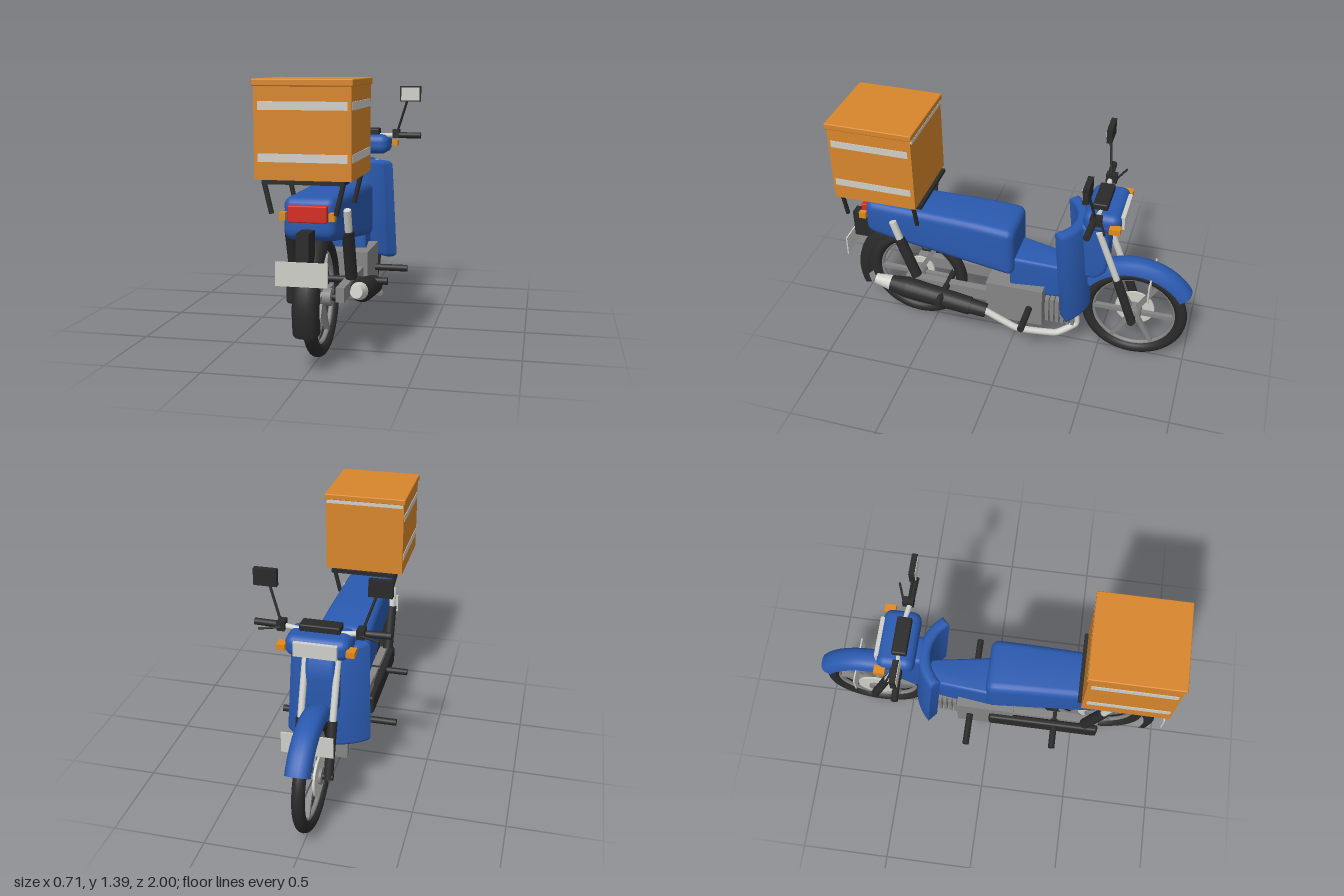
import * as THREE from 'three';
import { toCreasedNormals } from 'three/addons/utils/BufferGeometryUtils.js';
import { RoundedBoxGeometry } from 'three/addons/geometries/RoundedBoxGeometry.js';

const mat = (name, color, side = THREE.FrontSide) =>
  Object.assign(new THREE.MeshStandardMaterial({ color, side }), { name });

export function createModel() {
  const root = new THREE.Group();
  root.name = 'deliveryMotorbike';
  const blue = mat('bluePaint', 0x2a5ab0, THREE.DoubleSide);
  const orange = mat('orangeBox', 0xd8862c);
  const dark = mat('blackPlastic', 0x2a2a2a, THREE.DoubleSide);
  const light = mat('lightGrey', 0xcfcfca);
  const grey = mat('engineGrey', 0x858585);
  const red = mat('redLens', 0xd62a20);
  const amber = mat('amberLens', 0xe08a1c);

  const add = (name, geo, m, parent = root) => {
    const mesh = new THREE.Mesh(geo, m);
    mesh.name = name;
    parent.add(mesh);
    return mesh;
  };
  const v = (p) => new THREE.Vector3(...p);

  // Box from its extents on each axis
  const box = (name, m, [x0, x1], [y0, y1], [z0, z1], r = 0) => {
    const s = [x1 - x0, y1 - y0, z1 - z0];
    const geo = r ? new RoundedBoxGeometry(...s, 4, r) : new THREE.BoxGeometry(...s);
    const mesh = add(name, geo, m);
    mesh.position.set((x0 + x1) / 2, (y0 + y1) / 2, (z0 + z1) / 2);
    return mesh;
  };

  // Round rod from a to b
  const rod = (name, m, a, b, ra, rb = ra, parent = root) => {
    const A = v(a), B = v(b), d = B.clone().sub(A);
    const mesh = add(name, new THREE.CylinderGeometry(rb, ra, d.length(), 20), m, parent);
    mesh.position.copy(A).add(B).multiplyScalar(0.5);
    mesh.quaternion.setFromUnitVectors(new THREE.Vector3(0, 1, 0), d.normalize());
    return mesh;
  };

  // Polygon with softened corners
  const softShape = (pts, r) => {
    const s = new THREE.Shape();
    const P = pts.map((p) => new THREE.Vector2(...p)), n = P.length;
    P.forEach((p, i) => {
      const a = P[(i + n - 1) % n].clone().sub(p).setLength(r).add(p);
      const b = P[(i + 1) % n].clone().sub(p).setLength(r).add(p);
      i ? s.lineTo(a.x, a.y) : s.moveTo(a.x, a.y);
      s.quadraticCurveTo(p.x, p.y, b.x, b.y);
    });
    s.closePath();
    return s;
  };

  // Bevelled body from a (z, y) side profile; widthAt(z) scales its width
  const sideBody = (name, pts, half, bevel, corner, widthAt = () => 1) => {
    const geo = new THREE.ExtrudeGeometry(softShape(pts, corner), {
      depth: 2 * (half - bevel), bevelThickness: bevel, bevelSize: bevel,
      bevelOffset: -bevel, bevelSegments: 5, curveSegments: 6,
    });
    geo.translate(0, 0, bevel - half).rotateY(-Math.PI / 2);
    geo.translate(0, 0, 0);
    const p = geo.attributes.position;
    for (let i = 0; i < p.count; i++) p.setX(i, p.getX(i) * widthAt(p.getZ(i)));
    return add(name, toCreasedNormals(geo, 0.6), blue);
  };

  // Wheels: tyre, rim, six spokes, hub and brake disc
  const wheel = (name, z, discX, discR) => {
    const g = new THREE.Group();
    g.name = name;
    g.position.set(0, 0.303, z);
    root.add(g);
    const turn = (geo) => geo.rotateY(Math.PI / 2);
    add('tyre', turn(new THREE.TorusGeometry(0.268, 0.034, 16, 64)), dark, g);
    add('rim', turn(new THREE.TorusGeometry(0.234, 0.013, 8, 64)), grey, g);
    for (let i = 0; i < 6; i++) {
      const spoke = add('spoke', new THREE.BoxGeometry(0.025, 0.024, 0.2).translate(0, 0, 0.13), grey, g);
      spoke.rotation.x = (i * Math.PI) / 3;
    }
    rod('hub', grey, [-0.055, 0, 0], [0.055, 0, 0], 0.045, 0.045, g);
    rod('axle', dark, [-0.11, 0, 0], [0.11, 0, 0], 0.018, 0.018, g);
    rod('brakeDisc', light, [discX - 0.006, 0, 0], [discX + 0.006, 0, 0], discR, discR, g);
  };
  wheel('rearWheel', 0.605, -0.035, 0.085);
  wheel('frontWheel', -0.693, -0.035, 0.113);

  // Curved mudguards, swept around the wheel axle
  const fender = (name, m, z, from, to) => {
    const profile = [[0.305, -0.065], [0.345, -0.06], [0.363, -0.042], [0.37, -0.015],
      [0.37, 0.015], [0.363, 0.042], [0.345, 0.06], [0.305, 0.065]].map((p) => new THREE.Vector2(...p));
    const rad = Math.PI / 180;
    const geo = new THREE.LatheGeometry(profile, 40, from * rad, (to - from) * rad);
    add(name, geo.rotateZ(Math.PI / 2), m).position.set(0, 0.303, z);
  };
  fender('rearFender', dark, 0.605, -19, 115);
  fender('frontFender', blue, -0.693, 36, 147);

  // Seat and frame cover
  sideBody('seat', [[0.855, 0.84], [0.86, 0.64], [0.74, 0.615], [-0.02, 0.51], [-0.02, 0.815], [0.2, 0.83]],
    0.153, 0.045, 0.05, (z) => 1 - 0.2 * Math.max(0, z));
  sideBody('frameCover', [[0.01, 0.62], [0.01, 0.37], [-0.4, 0.37], [-0.4, 0.57]],
    0.115, 0.02, 0.02, (z) => 1 + 1.1 * Math.min(0, z));

  // Leg shield: an arc in plan, leaning and widening towards the bottom
  const arc = new THREE.Shape();
  const mid = Math.PI / 2, span = 0.84;
  arc.absarc(0, 0, 0.3, mid - span, mid + span, false);
  arc.absarc(0, 0, 0.235, mid + span, mid - span, true);
  const shield = new THREE.ExtrudeGeometry(arc, {
    depth: 0.53, bevelThickness: 0.025, bevelSize: 0.025, bevelOffset: -0.025, bevelSegments: 4, curveSegments: 20,
  }).rotateX(-Math.PI / 2).translate(0, 0.345, -0.1);
  const sp = shield.attributes.position;
  for (let i = 0; i < sp.count; i++) {
    const t = (0.9 - sp.getY(i)) / 0.58;
    sp.setX(i, sp.getX(i) * (0.94 + 0.1 * t));
    sp.setZ(i, sp.getZ(i) - 0.05 * t);
  }
  add('legShield', toCreasedNormals(shield, 0.6), blue);
  sideBody('steeringCowl', [[-0.37, 0.9], [-0.37, 0.55], [-0.47, 0.545], [-0.53, 0.6], [-0.535, 0.8], [-0.51, 0.9]],
    0.08, 0.025, 0.03);
  rod('steeringStem', light, [0, 0.85, -0.45], [0, 0.98, -0.48], 0.03);

  // Headlight pod and instruments
  box('headlightPod', blue, [-0.165, 0.165], [0.925, 1.04], [-0.6, -0.4], 0.045);
  box('headlightLens', light, [-0.112, 0.112], [0.945, 1.02], [-0.615, -0.59]);
  box('instrumentPanel', dark, [-0.105, 0.105], [1.035, 1.075], [-0.52, -0.44], 0.008);

  // Engine, cooling fins and pegs
  box('engineBlock', grey, [-0.147, 0.147], [0.193, 0.44], [-0.19, 0.14]);
  box('cylinderCore', grey, [-0.075, 0.075], [0.22, 0.34], [-0.36, -0.18]);
  for (let i = 0; i < 6; i++) {
    const z = -0.21 - i * 0.03;
    box('coolingFin', grey, [-0.105, 0.105], [0.2, 0.36], [z - 0.009, z + 0.009]);
  }
  rod('frontFootPegs', dark, [-0.33, 0.305, -0.115], [0.33, 0.305, -0.115], 0.019);
  rod('rearFootPegs', dark, [-0.3, 0.345, 0.385], [0.3, 0.345, 0.385], 0.019);
  box('chainCase', dark, [-0.175, -0.135], [0.265, 0.375], [0, 0.64], 0.015);

  // Mirrored parts
  for (const s of [-1, 1]) {
    const X = (a, b) => [Math.min(s * a, s * b), Math.max(s * a, s * b)];
    box('swingArm', grey, X(0.08, 0.125), [0.285, 0.36], [0.1, 0.64]);
    rod('rearShockUpper', light, [s * 0.147, 0.76, 0.68], [s * 0.147, 0.6, 0.63], 0.021);
    rod('rearShockLower', dark, [s * 0.145, 0.65, 0.648], [s * 0.145, 0.4, 0.56], 0.031);
    rod('forkUpper', light, [s * 0.085, 0.88, -0.48], [s * 0.085, 0.55, -0.605], 0.018);
    rod('forkLower', dark, [s * 0.085, 0.58, -0.595], [s * 0.085, 0.29, -0.697], 0.025);
    rod('handlebar', light, [s * 0.1, 1.03, -0.485], [s * 0.22, 1.036, -0.468], 0.014);
    rod('grip', dark, [s * 0.2, 1.036, -0.468], [s * 0.353, 1.036, -0.463], 0.018);
    rod('brakeLever', dark, [s * 0.19, 1.04, -0.5], [s * 0.31, 1.04, -0.545], 0.006);
    box('leverMount', dark, X(0.185, 0.225), [1.02, 1.07], [-0.51, -0.45]);
    rod('mirrorStem', dark, [s * 0.205, 1.04, -0.48], [s * 0.275, 1.25, -0.447], 0.007);
    box('mirrorHousing', dark, X(0.232, 0.353), [1.237, 1.327], [-0.462, -0.432]);
    box('mirrorGlass', light, X(0.239, 0.346), [1.244, 1.32], [-0.434, -0.429]);
    box('frontIndicator', amber, X(0.155, 0.2), [0.965, 0.997], [-0.607, -0.548]);
    box('rearIndicator', amber, X(0.105, 0.133), [0.735, 0.773], [0.85, 0.89]);
    for (const z of [0.53, 0.945])
      rod('rackLeg', dark, [s * 0.187, 0.92, z], [s * 0.153, 0.775, z], 0.012);
    for (const y of [1.017, 1.255])
      box('sideStripe', light, X(0.227, 0.232), [y, y + 0.039], [0.52, 0.95]);
  }

  // Delivery box on its rack
  box('rackPlate', dark, [-0.195, 0.195], [0.914, 0.934], [0.48, 0.963]);
  box('deliveryBox', orange, [-0.229, 0.229], [0.934, 1.365], [0.5, 0.965]);
  box('boxLid', orange, [-0.237, 0.237], [1.362, 1.396], [0.492, 0.975], 0.006);
  box('lidHingeStrip', light, [-0.225, 0.225], [1.343, 1.364], [0.492, 0.501]);
  for (const y of [1.017, 1.255])
    box('rearStripe', light, [-0.21, 0.21], [y, y + 0.039], [0.963, 0.968]);

  // Tail light, plates and mounts
  box('tailLight', red, [-0.095, 0.095], [0.725, 0.806], [0.84, 0.888], 0.006);
  box('plateMount', dark, [-0.031, 0.031], [0.525, 0.69], [0.86, 0.98]);
  box('rearPlate', light, [-0.125, 0.125], [0.445, 0.56], [0.99, 0.998]);
  box('frontPlate', light, [-0.135, 0.135], [0.485, 0.6], [-0.782, -0.774]);

  // Exhaust: bent pipe, muffler and tapered tip
  const path = new THREE.CurvePath();
  const bends = [[0.05, 0.26, -0.365], [0.06, 0.18, -0.375], [0.12, 0.135, -0.27], [0.18, 0.17, -0.055], [0.19, 0.275, 0.15]];
  const pipe = new THREE.CatmullRomCurve3(bends.map(v), false, 'catmullrom', 0.2);
  add('exhaustPipe', new THREE.TubeGeometry(pipe, 40, 0.02, 12), light);
  const axis = (t) => [0.19 + 0.025 * t, 0.268 + 0.112 * t, 0.13 + 0.655 * t];
  rod('mufflerNeck', dark, axis(0), axis(0.16), 0.042, 0.045);
  rod('mufflerBody', dark, axis(0.14), axis(0.72), 0.052, 0.062);
  rod('mufflerEnd', dark, axis(0.72), axis(0.86), 0.062, 0.045);
  rod('mufflerTip', light, axis(0.86), axis(1), 0.045, 0.03);

  return root;
}
